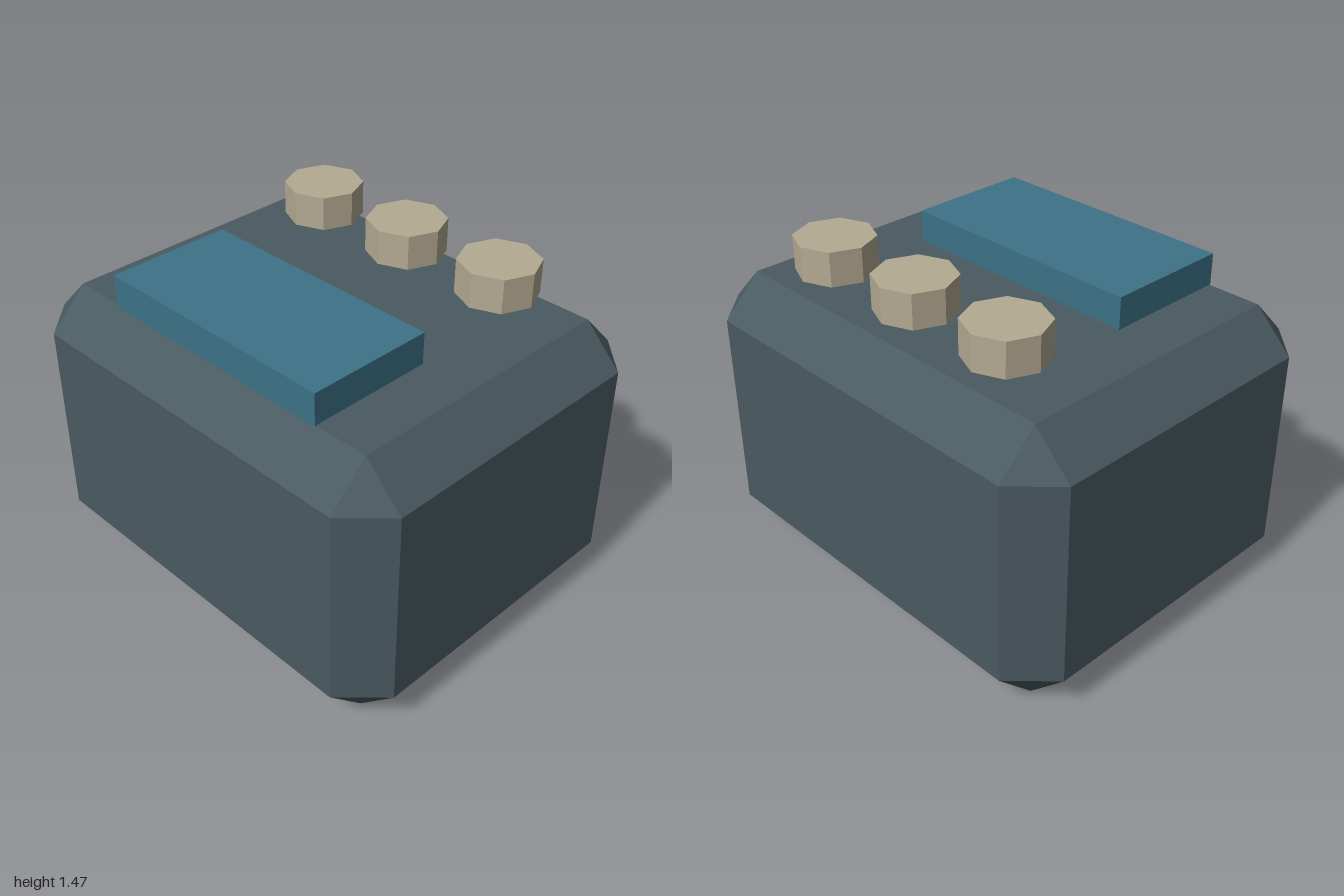
import * as THREE from 'three';
import { ConvexGeometry } from 'three/addons/geometries/ConvexGeometry.js';

const flat = (name, color) => {
  const m = new THREE.MeshStandardMaterial({ color });
  m.name = name;
  return m;
};

// Box with chamfered edges and triangular corners, centred on the origin
function chamferedBox(w, h, d, c) {
  const points = [];
  for (const sx of [-1, 1]) for (const sy of [-1, 1]) for (const sz of [-1, 1]) {
    const [x, y, z] = [w / 2, h / 2, d / 2];
    points.push(
      new THREE.Vector3(sx * x, sy * (y - c), sz * (z - c)),
      new THREE.Vector3(sx * (x - c), sy * y, sz * (z - c)),
      new THREE.Vector3(sx * (x - c), sy * (y - c), sz * z));
  }
  return new ConvexGeometry(points);
}

export function createModel() {
  const model = new THREE.Group();
  model.name = 'controlBox';
  const slate = flat('slate', 0x4a5a61);
  const teal = flat('teal', 0x3d7286);
  const beige = flat('beige', 0xb4aa92);

  const add = (name, geometry, material, x, y, z) => {
    const mesh = new THREE.Mesh(geometry, material);
    mesh.name = name;
    mesh.position.set(x, y, z);
    model.add(mesh);
  };

  // Chunky body
  add('body', chamferedBox(2, 1.25, 1.62, 0.174), slate, 0, 0.625, 0);

  // Raised panel on the front half of the top
  add('topPanel', new THREE.BoxGeometry(1.16, 0.16, 0.568), teal, 0, 1.31, 0.358);

  // Row of octagonal knobs hovering just over the back of the top
  const knob = new THREE.CylinderGeometry(0.174, 0.174, 0.152, 8).toNonIndexed();
  knob.computeVertexNormals();
  ['rightKnob', 'middleKnob', 'leftKnob'].forEach((name, i) =>
    add(name, knob, beige, (i - 1) * 0.5, 1.39, -0.456));

  return model;
}
